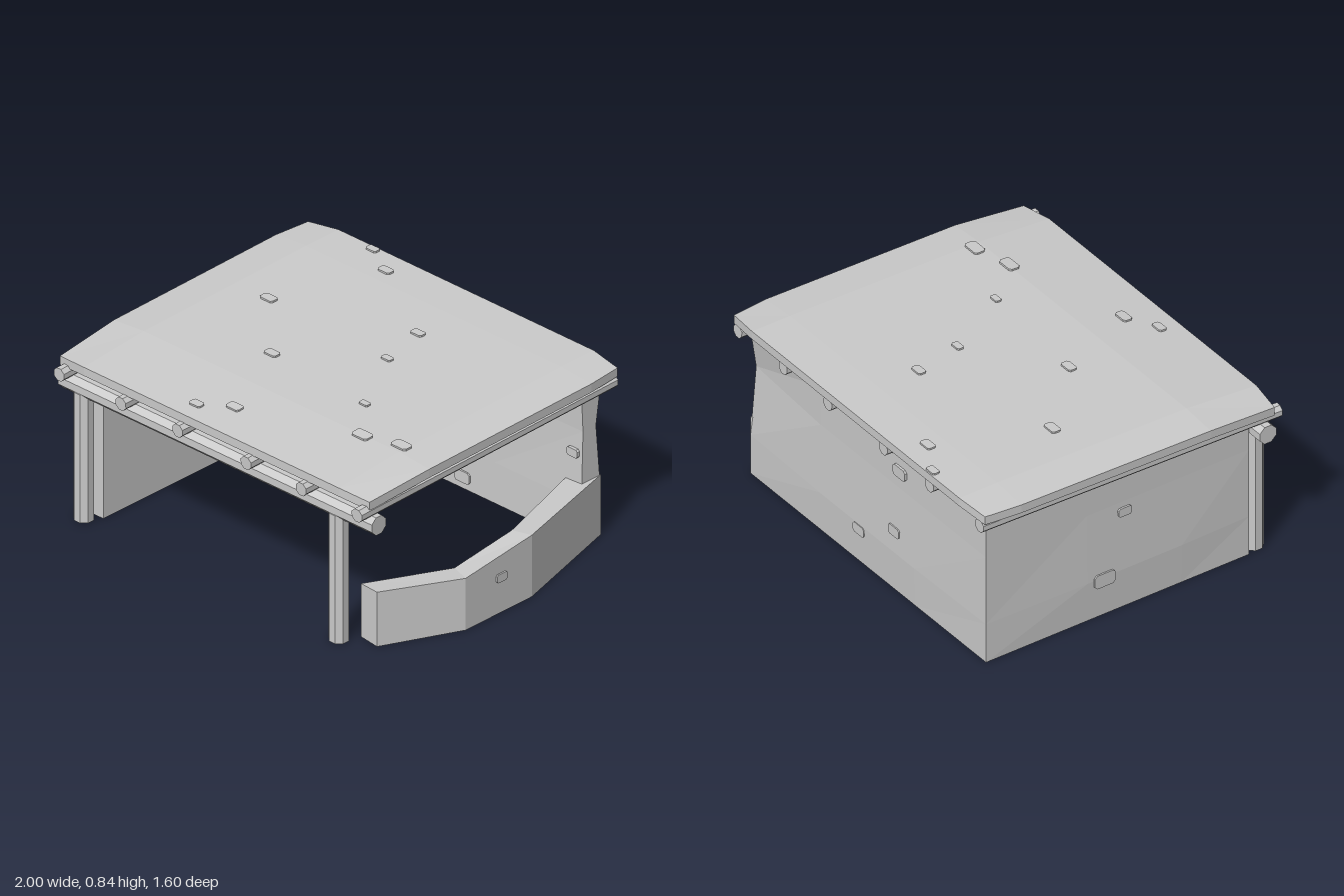
import * as THREE from 'three';

const clay = new THREE.MeshStandardMaterial({ color: 0xcccccc });
clay.name = 'plain grey';

function addMesh(parent, name, geometry) {
  const flat = geometry.index ? geometry.toNonIndexed() : geometry;
  flat.computeVertexNormals();
  const mesh = new THREE.Mesh(flat, clay);
  mesh.name = name;
  parent.add(mesh);
  return mesh;
}

// Box whose grid corners (i, j, k) are placed by a rule
function gridBox(nx, ny, nz, place) {
  const geo = new THREE.BoxGeometry(nx, ny, nz, nx, ny, nz);
  const p = geo.attributes.position;
  for (let v = 0; v < p.count; v++) {
    const i = Math.round(p.getX(v) + nx / 2);
    const j = Math.round(p.getY(v) + ny / 2);
    const k = Math.round(p.getZ(v) + nz / 2);
    p.setXYZ(v, ...place(i, j, k));
  }
  return geo;
}

// Eight-sided log between two points
function log(parent, name, from, to, radius) {
  const a = new THREE.Vector3(...from), b = new THREE.Vector3(...to);
  const geo = new THREE.CylinderGeometry(radius, radius, a.distanceTo(b), 8);
  geo.rotateY(Math.PI / 8);
  const mesh = addMesh(parent, name, geo);
  mesh.position.copy(a).add(b).multiplyScalar(0.5);
  mesh.quaternion.setFromUnitVectors(new THREE.Vector3(0, 1, 0), b.sub(a).normalize());
}

// Small raised brick with clipped corners, facing +z before it is turned
function brick(parent, x, y, z, w, rotX = 0, rotY = 0) {
  const a = w / 2, b = w * 0.31, c = w * 0.12;
  const shape = new THREE.Shape([[-a, -b + c], [-a + c, -b], [a - c, -b], [a, -b + c],
    [a, b - c], [a - c, b], [-a + c, b], [-a, b - c]].map(q => new THREE.Vector2(...q)));
  const geo = new THREE.ExtrudeGeometry(shape, { depth: 0.016, bevelEnabled: false });
  geo.translate(0, 0, -0.008);
  const mesh = addMesh(parent, 'raisedBrick', geo);
  mesh.position.set(x, y, z);
  mesh.rotation.set(rotX, rotY, 0);
}

// Height of the roof surface along z
const roofZ = [-0.8, -0.6, 0.4, 0.77];
const roofY = [0.835, 0.835, 0.815, 0.785];
function roofHeight(z) {
  let k = 0;
  while (k < 2 && z > roofZ[k + 1]) k++;
  return THREE.MathUtils.mapLinear(z, roofZ[k], roofZ[k + 1], roofY[k], roofY[k + 1]);
}

export function createModel() {
  const model = new THREE.Group();
  model.name = 'openShed';

  // Roof slab: drooping side edges and slightly pulled-in corners
  const roofX = [-1, -0.82, 0.71, 0.89];
  addMesh(model, 'roof', gridBox(3, 1, 3, (i, j, k) => {
    const side = i === 0 || i === 3, end = k === 0 || k === 3;
    const x = roofX[i] - (side && end ? Math.sign(roofX[i]) * 0.018 : 0);
    const z = roofZ[k] - (side && end ? Math.sign(roofZ[k]) * 0.02 : 0);
    const top = roofY[k] - (side ? 0.015 : 0);
    return [x, j ? top : top - 0.042, z];
  }));

  // Rafters, front beam and posts
  const frame = new THREE.Group();
  frame.name = 'timberFrame';
  model.add(frame);
  for (const x of [-0.94, -0.57, -0.23, 0.18, 0.51, 0.845]) {
    log(frame, 'rafter', [x, 0.714, 0.8], [x, 0.75, -0.78], 0.033);
  }
  log(frame, 'frontBeam', [-0.99, 0.648, 0.71], [0.89, 0.648, 0.71], 0.047);
  for (const x of [-0.873, 0.655]) log(frame, 'post', [x, 0, 0.715], [x, 0.63, 0.715], 0.047);

  // Walls
  const walls = new THREE.Group();
  walls.name = 'walls';
  model.add(walls);
  const levels = [0, 0.2, 0.55, 0.75];
  const backX = [-0.92, -0.4, 0.3, 0.82];
  addMesh(walls, 'backWall', gridBox(3, 3, 1, (i, j, k) => {
    const dent = i === 3 && j === 2 ? 0.03 : 0;
    const bulge = (i === 1 || i === 2) && j === 1 ? 0.008 : 0;
    return [backX[i], levels[j], k ? -0.61 - dent / 3 : -0.73 + dent - bulge];
  }));
  const sideZ = [-0.73, -0.2, 0.3, 0.66];
  addMesh(walls, 'rightWall', gridBox(1, 3, 3, (i, j, k) => {
    const bulge = (k === 1 || k === 2) && j === 1 ? 0.008 : 0;
    const y = j === 3 ? [0.745, 0.73, 0.715, 0.7][k] : levels[j];
    return [i ? -0.81 : -0.92 - bulge, y, sideZ[k]];
  }));

  // Low bowed wall: outer x, outer z, inner x, inner z, height
  const bowed = [
    [0.82, -0.73, 0.72, -0.62, 0.295],
    [0.99, -0.13, 0.89, -0.11, 0.303],
    [0.992, 0.28, 0.885, 0.24, 0.255],
    [0.82, 0.65, 0.71, 0.635, 0.268],
  ];
  addMesh(walls, 'lowBowedWall', gridBox(1, 1, 3, (i, j, k) => {
    const [ox, oz, ix, iz, h] = bowed[k];
    return [i ? ox : ix, j ? h - (i ? 0 : 0.006) : 0, i ? oz : iz];
  }));

  // Raised bricks scattered on the roof
  const bricks = new THREE.Group();
  bricks.name = 'raisedBricks';
  model.add(bricks);
  for (const [x, z, w] of [[-0.59, -0.775, 0.06], [-0.42, -0.68, 0.07], [0.06, -0.385, 0.065],
    [-0.62, -0.165, 0.075], [0.115, -0.14, 0.055], [-0.28, 0.165, 0.07], [0.315, 0.205, 0.05],
    [0.495, 0.405, 0.09], [0.68, 0.355, 0.09], [-0.09, 0.59, 0.075], [-0.235, 0.675, 0.065]]) {
    const slope = Math.atan2(roofHeight(z - 0.01) - roofHeight(z + 0.01), 0.02);
    brick(bricks, x, roofHeight(z), z, w, -Math.PI / 2 + slope);
  }

  // Bricks on the inside and outside of the walls
  for (const [x, y, w] of [[-0.13, 0.435, 0.065], [0.32, 0.49, 0.075], [0.11, 0.06, 0.09],
    [-0.58, 0.6, 0.075], [0.77, 0.435, 0.065], [0.39, 0.71, 0.09]]) {
    brick(bricks, x, y, -0.61, w);
  }
  for (const [x, y, w] of [[-0.29, 0.64, 0.09], [-0.25, 0.31, 0.08], [0.01, 0.17, 0.08]]) {
    brick(bricks, x, y, -0.733, w, 0, Math.PI);
  }
  brick(bricks, -0.927, 0.19, -0.11, 0.11, 0, -Math.PI / 2);
  brick(bricks, -0.922, 0.5, 0, 0.07, 0, -Math.PI / 2);
  brick(bricks, 0.991, 0.175, 0.06, 0.065, 0, Math.PI / 2);

  return model;
}
